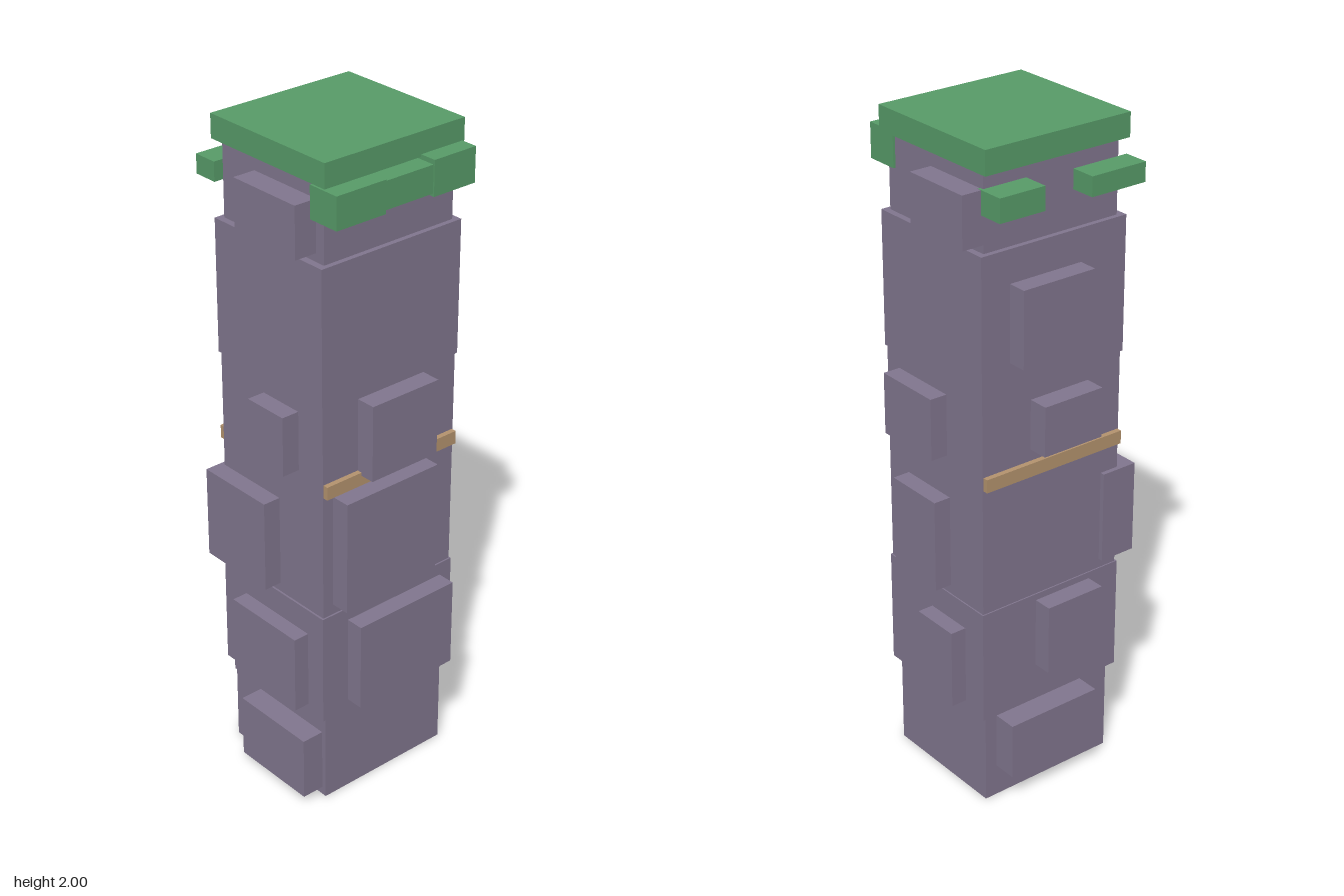
import * as THREE from 'three';

export function createModel() {
  const stone = new THREE.MeshStandardMaterial({ color: 0x82778f });
  stone.name = 'purple grey stone';
  const moss = new THREE.MeshStandardMaterial({ color: 0x589c69 });
  moss.name = 'moss green';
  const tan = new THREE.MeshStandardMaterial({ color: 0xb5946f });
  tan.name = 'tan';

  const model = new THREE.Group();
  model.name = 'stonePillar';

  // Box given by its extents on each axis
  function block(name, material, [x0, x1], [y0, y1], [z0, z1]) {
    const mesh = new THREE.Mesh(new THREE.BoxGeometry(x1 - x0, y1 - y0, z1 - z0), material);
    mesh.position.set((x0 + x1) / 2, (y0 + y1) / 2, (z0 + z1) / 2);
    mesh.name = name;
    model.add(mesh);
  }

  // Shaft: narrow foot and neck, three wider courses between
  block('foot', stone, [-0.225, 0.225], [0, 0.29], [-0.202, 0.205]);
  block('lowerCourse', stone, [-0.246, 0.244], [0.29, 0.64], [-0.217, 0.22]);
  block('middleCourse', stone, [-0.24, 0.24], [0.64, 1.31], [-0.213, 0.215]);
  block('upperCourse', stone, [-0.246, 0.244], [1.31, 1.71], [-0.217, 0.22]);
  block('neck', stone, [-0.225, 0.225], [1.71, 1.93], [-0.202, 0.205]);

  // Thin band showing on front and back
  block('band', tan, [-0.238, 0.237], [1.03, 1.07], [-0.229, 0.231]);

  // Raised stones, as [horizontal extent, vertical extent] on each face
  const frontStones = [
    [[-0.115, 0.122], [1.06, 1.29]],
    [[-0.205, 0.128], [0.673, 1.022]],
    [[-0.153, 0.201], [0.325, 0.6]],
  ];
  const backStones = [
    [[-0.09, 0.15], [1.387, 1.613]],
    [[-0.125, 0.075], [1.105, 1.255]],
    [[-0.14, 0.055], [0.405, 0.62]],
    [[-0.125, 0.185], [0.1, 0.275]],
  ];
  const leftStones = [
    [[-0.203, 0.018], [1.735, 1.885]],
    [[-0.055, 0.16], [1.075, 1.26]],
    [[-0.065, 0.126], [0.668, 0.948]],
    [[-0.135, 0.02], [0.317, 0.56]],
  ];
  const rightStones = [
    [[-0.07, 0.175], [1.735, 1.885]],
    [[-0.03, 0.115], [1.075, 1.255]],
    [[-0.227, 0.03], [0.668, 0.948]],
    [[-0.12, 0.155], [0.317, 0.56]],
    [[-0.09, 0.19], [0.025, 0.225]],
  ];
  for (const [x, y] of frontStones) block('frontStone', stone, x, y, [0.15, 0.275]);
  for (const [x, y] of backStones) block('backStone', stone, x, y, [-0.275, -0.15]);
  for (const [z, y] of leftStones) block('leftStone', stone, [0.18, 0.293], y, z);
  for (const [z, y] of rightStones) block('rightStone', stone, [-0.295, -0.18], y, z);

  // Mossy cap slab with hanging clumps
  block('mossCap', moss, [-0.241, 0.239], [1.93, 2], [-0.229, 0.227]);
  block('frontMoss', moss, [-0.246, -0.08], [1.835, 1.929], [0.176, 0.278]);
  block('frontMoss', moss, [-0.08, 0.083], [1.845, 1.925], [0.176, 0.277]);
  block('frontMoss', moss, [0.086, 0.232], [1.835, 1.937], [0.176, 0.278]);
  block('backMoss', moss, [0.086, 0.233], [1.818, 1.886], [-0.28, -0.19]);
  block('backMoss', moss, [-0.253, -0.07], [1.818, 1.875], [-0.28, -0.204]);

  return model;
}
